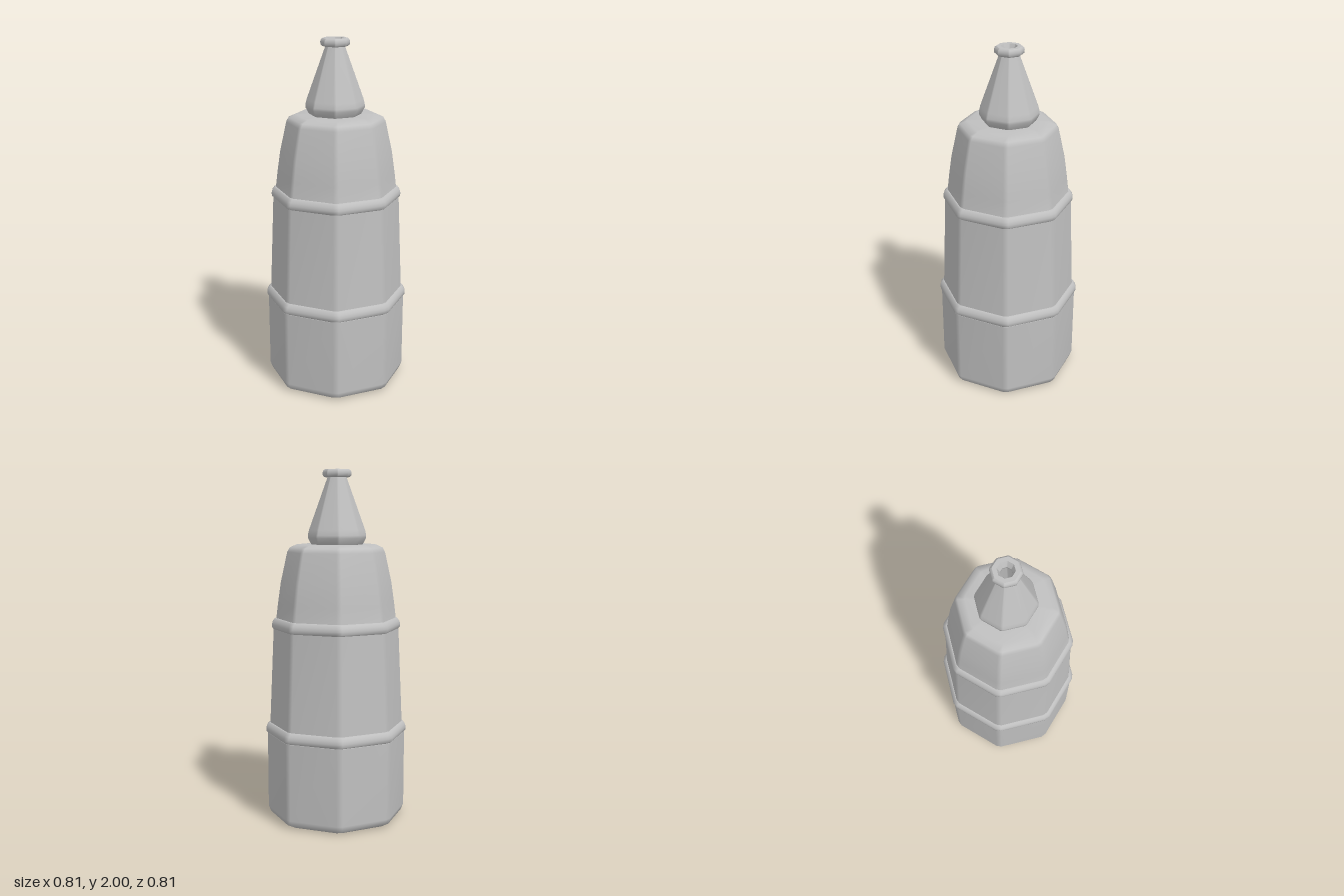
import * as THREE from 'three';

const SIDES = 8;
const TURN = THREE.MathUtils.degToRad(10);
const BEVEL = THREE.MathUtils.degToRad(2.4);

// Octagonal ring directions, with two points per corner for a narrow bevel
const directions = [];
for (let i = 0; i < SIDES; i++) {
  const corner = TURN + (i * Math.PI * 2) / SIDES;
  for (const offset of [-BEVEL, BEVEL]) {
    directions.push([Math.sin(corner + offset), Math.cos(corner + offset)]);
  }
}
const REACH = Math.max(...directions.map(([x]) => x));

// Sweeps a profile of [reach, height] round the octagon; a repeated point makes a sharp edge
function octagonSweep(profile) {
  const n = directions.length;
  const positions = [];
  const index = [];
  for (const [r, y] of profile) {
    for (const [dx, dz] of directions) positions.push((dx * r) / REACH, y, (dz * r) / REACH);
  }
  for (let i = 0; i < profile.length - 1; i++) {
    const [p, q] = [profile[i], profile[i + 1]];
    if (p[0] === q[0] && p[1] === q[1]) continue;
    for (let j = 0; j < n; j++) {
      const k = (j + 1) % n;
      const a = i * n + j, b = i * n + k, c = (i + 1) * n + k, d = (i + 1) * n + j;
      index.push(a, b, c, a, c, d);
    }
  }
  const geometry = new THREE.BufferGeometry();
  geometry.setAttribute('position', new THREE.Float32BufferAttribute(positions, 3));
  geometry.setIndex(index);
  geometry.computeVertexNormals();
  return geometry;
}

export function createModel() {
  const model = new THREE.Group();
  model.name = 'nozzleBottle';
  const plastic = new THREE.MeshStandardMaterial({ color: 0xc0c0c0 });
  plastic.name = 'greyPlastic';

  function addPart(name, profile, shift = 0) {
    const mesh = new THREE.Mesh(octagonSweep(profile), plastic);
    mesh.name = name;
    mesh.position.set(shift, 0, shift);
    model.add(mesh);
  }

  // Hollow body: bottom rim, outer wall, shoulder, then down the inside
  addPart('body', [
    [0.3, 0], [0.355, 0], [0.383, 0.015], [0.396, 0.05],
    [0.396, 0.49], [0.396, 0.49], [0.382, 0.53], [0.382, 0.53],
    [0.356, 1.11], [0.356, 1.11], [0.342, 1.15],
    [0.33, 1.25], [0.313, 1.37], [0.276, 1.54], [0.262, 1.565], [0.222, 1.583],
    [0.1, 1.583], [0.1, 1.583], [0.1, 1.5], [0.1, 1.5],
    [0.19, 1.49], [0.23, 1.36], [0.26, 1.15], [0.3, 0.5], [0.3, 0.5], [0.3, 0],
  ]);

  // Raised bands round the body
  for (const [name, reach, y] of [['lowerBand', 0.405, 0.49], ['upperBand', 0.366, 1.1]]) {
    addPart(name, [
      [reach - 0.04, y + 0.002], [reach - 0.012, y], [reach - 0.002, y + 0.01],
      [reach, y + 0.028], [reach - 0.005, y + 0.045], [reach - 0.016, y + 0.06],
      [reach - 0.024, y + 0.064], [reach - 0.05, y + 0.066],
    ]);
  }

  // Tapered nozzle with an open bore
  addPart('nozzle', [
    [0.08, 1.578], [0.14, 1.578], [0.14, 1.578], [0.15, 1.592], [0.164, 1.62],
    [0.164, 1.635], [0.157, 1.665], [0.05, 1.965], [0.05, 1.965],
    [0.03, 1.965], [0.03, 1.965], [0.08, 1.578],
  ], -0.006);

  // Lip at the nozzle tip
  addPart('nozzleLip', [
    [0.045, 1.957], [0.07, 1.957], [0.079, 1.965], [0.081, 1.98], [0.077, 1.993],
    [0.068, 2], [0.068, 2], [0.045, 2], [0.045, 2], [0.03, 1.965], [0.03, 1.957],
    [0.045, 1.957],
  ], -0.006);

  return model;
}
